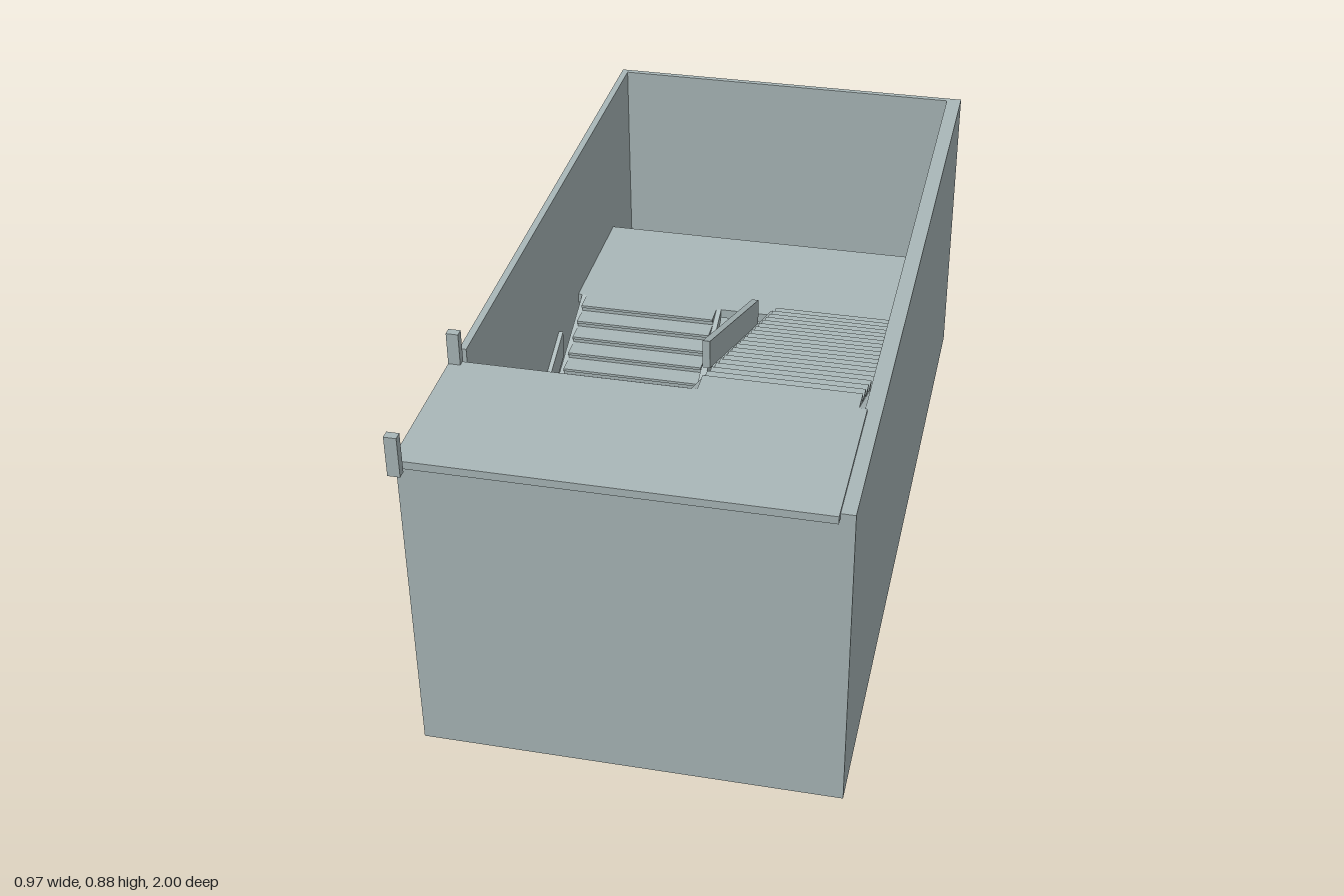
import * as THREE from 'three';

export function createModel() {
  const model = new THREE.Group();
  model.name = 'stairwell';
  const concrete = new THREE.MeshStandardMaterial({ color: 0xaab8b9 });
  concrete.name = 'pale grey concrete';

  const add = (name, geometry, parent = model) => {
    const mesh = new THREE.Mesh(geometry, concrete);
    mesh.name = name;
    parent.add(mesh);
    return mesh;
  };
  // Box given by its limits on each axis
  const box = (name, x0, x1, y0, y1, z0, z1) => {
    const g = new THREE.BoxGeometry(x1 - x0, y1 - y0, z1 - z0);
    g.translate((x0 + x1) / 2, (y0 + y1) / 2, (z0 + z1) / 2);
    return add(name, g);
  };

  // Shell: floor and walls, with a full-height doorway at the front of one side
  box('floor', -0.485, 0.485, 0.005, 0.018, -1, 0.95);
  box('backWall', -0.485, 0.485, 0.005, 0.79, -1, -0.985);
  box('leftWall', 0.447, 0.485, 0.005, 0.79, -1, 0.95);
  box('rightWall', -0.485, -0.468, 0.005, 0.79, -1, 0.52);
  box('frontWall', -0.485, 0.485, 0.005, 0.785, 0.935, 0.95);

  // Half landing and top platform
  box('halfLanding', -0.468, 0.447, 0.375, 0.4, -0.775, -0.39);
  box('topPlatform', -0.485, 0.453, 0.778, 0.797, 0.58, 0.97);
  for (const z of [0.575, 0.98]) box('platformPost', -0.485, -0.457, 0.778, 0.876, z, z + 0.02);

  // Flights share one side profile, drawn along the run s and height y
  const STEPS = 20, RUN = 0.97;
  const flight = (name, x0, x1, zStart, dir, y0, y1, rails) => {
    const group = new THREE.Group();
    group.name = name;
    model.add(group);
    const rise = (y1 - y0) / STEPS, run = RUN / STEPS, slope = (y1 - y0) / RUN;
    const slab = 0.03;

    // Extrude a profile of [s, y] points between two x limits
    const sideExtrude = (part, points, a, b) => {
      const shape = new THREE.Shape(points.map(([s, y]) => new THREE.Vector2(s, y)));
      const g = new THREE.ExtrudeGeometry(shape, { depth: b - a, bevelEnabled: false });
      g.rotateY(-dir * Math.PI / 2);
      g.translate(dir > 0 ? b : a, 0, zStart);
      add(part, g, group);
    };

    // Sawtooth steps over a sloping soffit, with small nosings
    const teeth = [[slab / slope, y0], [RUN, y1 - slab]];
    for (let i = STEPS - 1; i >= 0; i--) {
      const top = y0 + (i + 1) * rise;
      teeth.push([(i + 1) * run, top], [i * run - 0.008, top]);
      teeth.push([i * run - 0.008, top - 0.007], [i * run, top - 0.007]);
    }
    teeth.push([0, y0]);
    sideExtrude('steps', teeth, x0 + 0.013, x1 - 0.013);

    // Stringers along both sides
    const stringer = [[0, y0], [slab / slope, y0], [RUN, y1 - slab], [RUN, y1], [0, y0 + 0.012]];
    sideExtrude('stringer', stringer, x0, x0 + 0.013);
    sideExtrude('stringer', stringer, x1 - 0.013, x1);

    // Low sloping guard rails over the middle of the run
    const at = (s, dy) => [s, y0 + s * slope + dy];
    for (const [a, b] of rails) {
      sideExtrude('guardRail', [at(0.18, 0.008), at(0.775, 0.008), at(0.775, 0.08), at(0.18, 0.08)], a, b);
    }
  };

  flight('lowerFlight', -0.457, -0.07, 0.58, -1, 0, 0.4, [[-0.472, -0.457], [-0.07, -0.053]]);
  flight('upperFlight', 0.065, 0.448, -0.39, 1, 0.4, 0.797, [[0.048, 0.065]]);

  return model;
}
